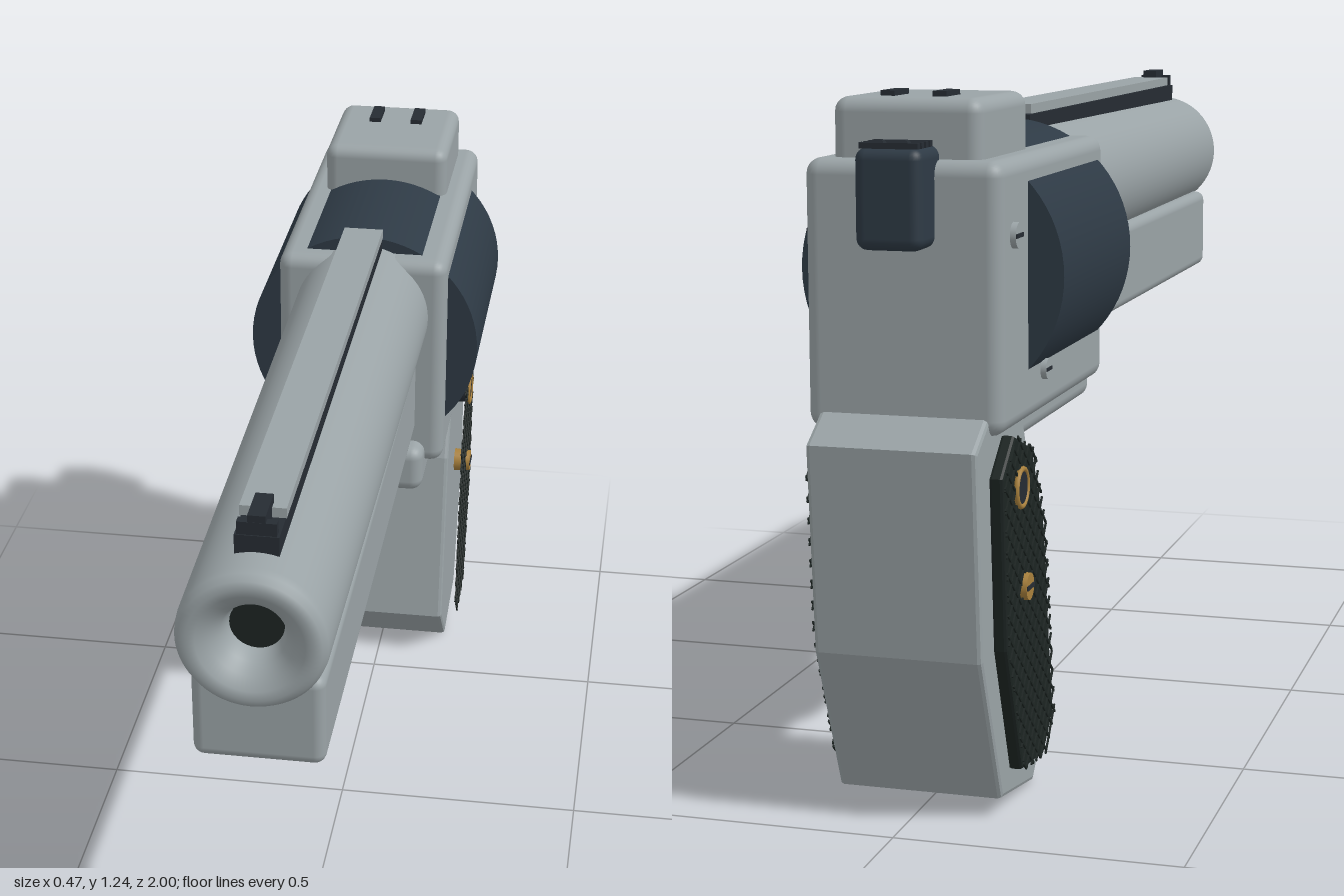
import * as THREE from 'three';
import { RoundedBoxGeometry } from 'three/addons/geometries/RoundedBoxGeometry.js';
import { mergeGeometries } from 'three/addons/utils/BufferGeometryUtils.js';

const mat = (name, color) => {
  const m = new THREE.MeshStandardMaterial({ color });
  m.name = name;
  return m;
};

export function createModel() {
  const steel = mat('steel', 0x9aa3a6);
  const blued = mat('bluedSteel', 0x2e3a45);
  const dark = mat('darkMetal', 0x262c33);
  const rubber = mat('blackRubber', 0x1c2422);
  const brass = mat('brass', 0xa8803c);
  const model = new THREE.Group();
  model.name = 'revolver';

  const add = (name, geometry, material, parent = model) => {
    const mesh = new THREE.Mesh(geometry, material);
    mesh.name = name;
    parent.add(mesh);
    return mesh;
  };
  // Rounded box given by its limits on each axis
  const block = (name, [x0, x1], [y0, y1], [z0, z1], r, material) => {
    const g = new RoundedBoxGeometry(x1 - x0, y1 - y0, z1 - z0, 3, r);
    g.translate((x0 + x1) / 2, (y0 + y1) / 2, (z0 + z1) / 2);
    return add(name, g, material);
  };
  const box = (w, h, d, x, y, z) => new THREE.BoxGeometry(w, h, d).translate(x, y, z);

  // Barrel with rounded crown and flared bore
  const profile = [
    [0.137, -0.3], [0.128, 0.965], [0.126, 0.982], [0.118, 0.995], [0.105, 1],
    [0.09, 0.996], [0.07, 0.98], [0.055, 0.96], [0.046, 0.93], [0.045, 0.9],
  ].map(([r, z]) => new THREE.Vector2(r, z));
  const barrel = add('barrel', new THREE.LatheGeometry(profile, 64).rotateX(Math.PI / 2), steel);
  barrel.position.y = 1.012;
  add('bore', new THREE.CircleGeometry(0.046, 32).translate(0, 1.012, 0.93), rubber);
  block('underLug', [-0.113, 0.113], [0.747, 0.92], [-0.3, 0.945], 0.02, steel);

  // Rib and front sight
  add('ribBase', box(0.074, 0.05, 1.21, 0, 1.145, 0.315), dark);
  add('ribTop', box(0.078, 0.018, 1.15, 0, 1.181, 0.285), steel);
  add('frontSight', mergeGeometries([
    box(0.03, 0.055, 0.075, 0, 1.178, 0.88),
    box(0.066, 0.03, 0.016, 0, 1.178, 0.91),
  ]), dark);

  // Frame, rear block and cylinder
  block('frame', [-0.172, 0.172], [0.678, 1.133], [-0.925, -0.262], 0.027, steel);
  block('rearBlock', [-0.13, 0.13], [1.08, 1.233], [-0.897, -0.62], 0.025, steel);
  const drum = add('cylinder', new THREE.CylinderGeometry(0.235, 0.235, 0.467, 72).rotateX(Math.PI / 2), blued);
  drum.position.set(0, 0.93, -0.538);
  for (const s of [-1, 1]) {
    add('rearSightMark', box(0.024, 0.016, 0.075, s * 0.045, 1.234, -0.818), dark);
  }

  // Hammer with a ridged spur
  block('hammer', [-0.058, 0.058], [0.99, 1.157], [-0.995, -0.88], 0.02, blued);
  for (let i = 0; i < 4; i++) {
    add('hammerRidge', box(0.1, 0.01, 0.012, 0, 1.16, -0.915 - i * 0.021), dark);
  }

  // Trigger and guard
  block('guardMount', [-0.135, 0.135], [0.63, 0.73], [-0.76, -0.215], 0.025, steel);
  const guard = add('triggerGuard',
    new THREE.TorusGeometry(0.18, 0.019, 16, 48, Math.PI).rotateZ(Math.PI).rotateY(Math.PI / 2), steel);
  guard.position.set(0, 0.665, -0.457);
  const trigger = add('trigger', new THREE.BoxGeometry(0.03, 0.06, 0.022), steel);
  trigger.position.set(0, 0.628, -0.43);
  trigger.rotation.x = -0.2;

  // Side outlines as [z, y]
  const gripOutline = [
    [-0.995, 0.665], [-0.968, 0.305], [-0.855, 0.035], [-0.66, 0.003],
    [-0.565, 0.107], [-0.635, 0.49], [-0.72, 0.68], [-0.9, 0.725],
  ];
  const padOutline = [
    [-0.922, 0.61], [-0.9, 0.31], [-0.81, 0.075], [-0.675, 0.06],
    [-0.615, 0.12], [-0.672, 0.48], [-0.745, 0.63], [-0.85, 0.67],
  ];
  const slab = (outline, x0, x1, bevel) => {
    const shape = new THREE.Shape(outline.map(([z, y]) => new THREE.Vector2(-z, y)));
    const g = new THREE.ExtrudeGeometry(shape, {
      depth: x1 - x0 - 2 * bevel, bevelThickness: bevel, bevelSize: bevel,
      bevelOffset: -bevel, bevelSegments: 2,
    });
    return g.rotateY(Math.PI / 2).translate(x0 + bevel, 0, 0);
  };
  add('grip', slab(gripOutline, -0.148, 0.148, 0.008), steel);
  add('gripPad', slab(padOutline, -0.172, -0.146, 0.006), rubber);

  // Crosshatch lines, each clipped to the pad outline
  const hatch = [];
  for (const angle of [0.9, -0.72]) {
    const dz = Math.cos(angle), dy = Math.sin(angle);
    for (let k = -16; k <= 16; k++) {
      const pz = -0.77 - dy * k * 0.026, py = 0.36 + dz * k * 0.026;
      const hits = [];
      padOutline.forEach(([z0, y0], i) => {
        const [z1, y1] = padOutline[(i + 1) % padOutline.length];
        const side0 = (z0 - pz) * dy - (y0 - py) * dz;
        const side1 = (z1 - pz) * dy - (y1 - py) * dz;
        if (side0 * side1 >= 0) return;
        const t = side0 / (side0 - side1);
        hits.push((z0 + (z1 - z0) * t - pz) * dz + (y0 + (y1 - y0) * t - py) * dy);
      });
      if (hits.length < 2) continue;
      const a = Math.min(...hits), b = Math.max(...hits), mid = (a + b) / 2;
      hatch.push(new THREE.BoxGeometry(0.003, 0.004, b - a)
        .rotateX(-angle).translate(0, py + dy * mid, pz + dz * mid));
    }
  }
  const hatchGeometry = mergeGeometries(hatch);

  // Slotted screws and checkering on both sides
  const screw = (s, name, x, y, z, r, head, slot) => {
    const g = new THREE.Group();
    g.name = name;
    add('screwHead', new THREE.CylinderGeometry(r * 0.9, r, 0.04, 24).rotateZ(-s * Math.PI / 2), head, g);
    add('screwSlot', box(0.004, r * 0.3, r * 1.6, s * 0.02, 0, 0), slot, g);
    g.position.set(s * (x - 0.02), y, z);
    model.add(g);
  };
  for (const s of [-1, 1]) {
    add('checkering', hatchGeometry, rubber).position.x = s * 0.175;
    screw(s, 'frameScrewUpper', 0.182, 1.008, -0.857, 0.024, steel, dark);
    screw(s, 'frameScrewLower', 0.182, 0.757, -0.678, 0.02, steel, dark);
    screw(s, 'gripScrew', 0.184, 0.4, -0.802, 0.026, brass, dark);
    const rim = add('medallionRim', new THREE.TorusGeometry(0.032, 0.005, 8, 32).rotateY(Math.PI / 2), brass);
    rim.position.set(s * 0.176, 0.577, -0.825);
    const disc = add('medallion', new THREE.CylinderGeometry(0.032, 0.032, 0.03, 32).rotateZ(Math.PI / 2), dark);
    disc.position.set(s * 0.163, 0.577, -0.825);
  }
  return model;
}
